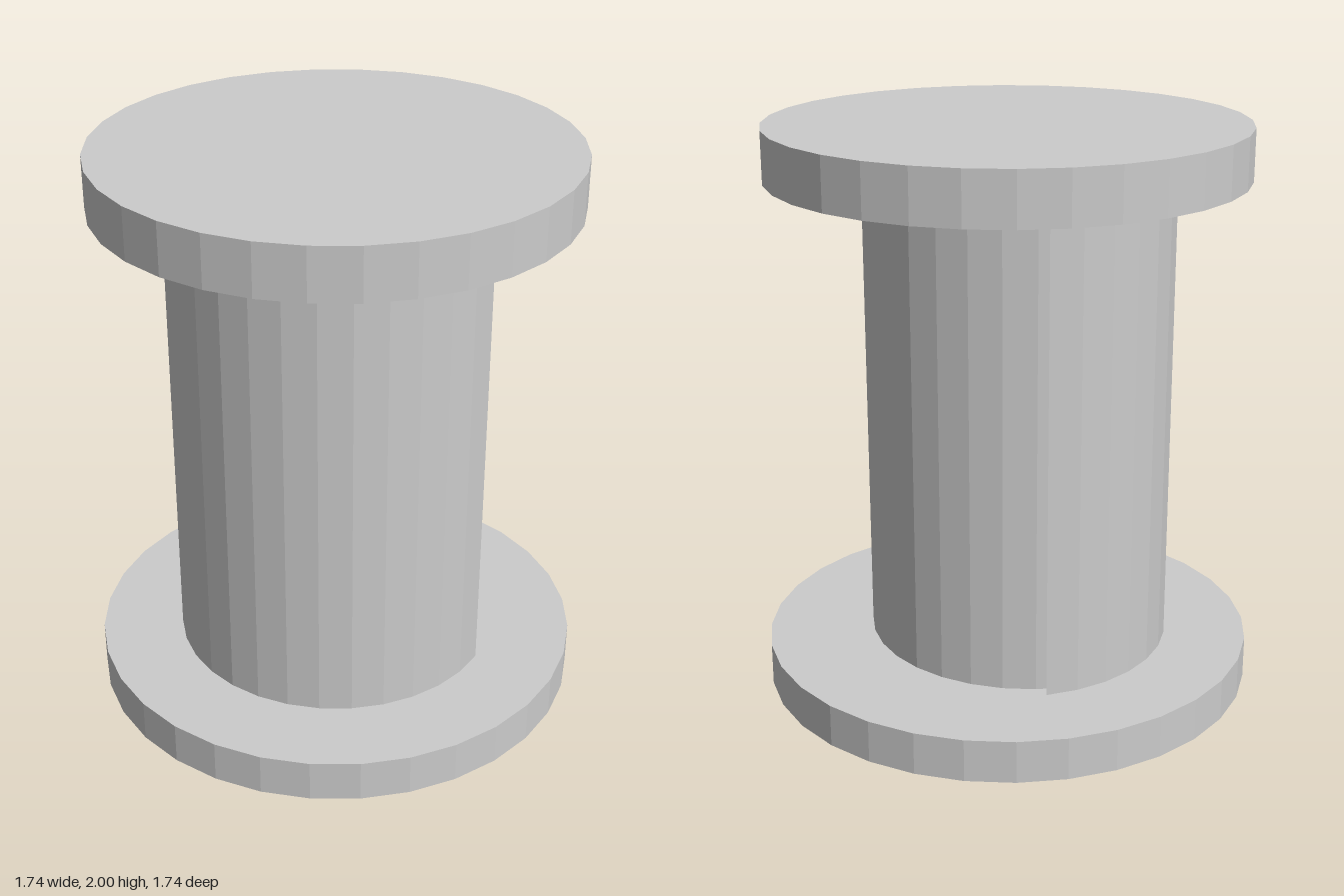
import * as THREE from 'three';

const SIDES = 32;
const STEP = (Math.PI * 2) / SIDES;

export function createModel() {
  const group = new THREE.Group();
  const solid = new THREE.MeshStandardMaterial({ color: 0xcccccc, flatShading: true });
  const thin = new THREE.MeshStandardMaterial({ color: 0xcccccc, flatShading: true, side: THREE.DoubleSide });

  // closed disc between two heights
  function disc(name, radius, y0, y1) {
    const mesh = new THREE.Mesh(new THREE.CylinderGeometry(radius, radius, y1 - y0, SIDES), solid);
    mesh.name = name;
    mesh.position.y = (y0 + y1) / 2;
    group.add(mesh);
  }

  // thin curved wall spanning a number of the 32 facets, shifted along z
  function wall(name, firstFacet, facets, z) {
    const geometry = new THREE.CylinderGeometry(
      0.577, 0.577, 1.67, facets, 1, true, firstFacet * STEP, facets * STEP);
    const mesh = new THREE.Mesh(geometry, thin);
    mesh.name = name;
    mesh.position.set(0, 0.985, z);
    group.add(mesh);
  }

  disc('base', 0.87, 0, 0.15);
  disc('topCap', 0.825, 1.82, 2);

  // front shell wraps 225 degrees; the back panel fills the rest, set inward
  wall('frontShell', -10, 20, 0);
  wall('insetBackPanel', 10, 12, 0.095);

  return group;
}
